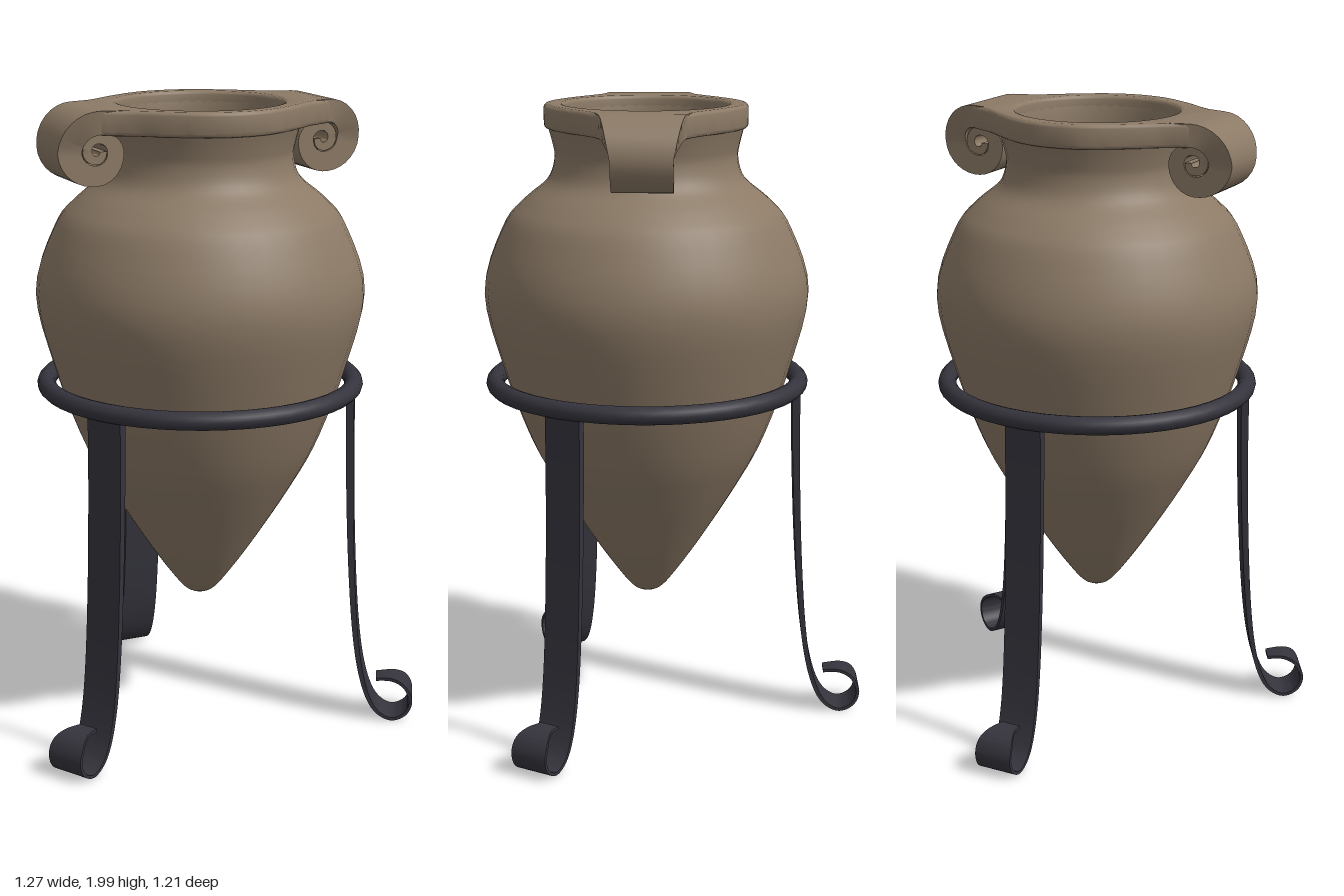
import * as THREE from 'three';
import { toCreasedNormals } from 'three/addons/utils/BufferGeometryUtils.js';

const AXIS_Z = 0.09;
const vec = (pts) => pts.map(([x, y]) => new THREE.Vector2(x, y));
const spline = (pts, n) => new THREE.SplineCurve(vec(pts)).getPoints(n);

// Rectangular band lofted through rows { outer, inner, w }; w is the half width along z
function band(rows) {
  const pos = [], index = [];
  rows.forEach(({ outer: o, inner: i, w }, k) => {
    pos.push(o.x, o.y, -w, o.x, o.y, w, i.x, i.y, w, i.x, i.y, -w);
    if (k === rows.length - 1) return;
    for (let j = 0; j < 4; j++) {
      const a = k * 4 + j, b = k * 4 + (j + 1) % 4;
      index.push(a, b, a + 4, b, b + 4, a + 4);
    }
  });
  const e = (rows.length - 1) * 4;
  index.push(0, 3, 2, 0, 2, 1, e, e + 1, e + 2, e, e + 2, e + 3);
  const g = new THREE.BufferGeometry();
  g.setAttribute('position', new THREE.Float32BufferAttribute(pos, 3));
  g.setIndex(index);
  return toCreasedNormals(g, 0.7);
}

// Pointed vessel with an inner wall
function bodyGeometry() {
  const outer = spline([
    [0, 0.41], [0.045, 0.425], [0.1, 0.49], [0.18, 0.605], [0.29, 0.78], [0.375, 0.94],
    [0.46, 1.18], [0.513, 1.42], [0.45, 1.62], [0.386, 1.7], [0.31, 1.765],
    [0.287, 1.83], [0.293, 1.88], [0.308, 1.935],
  ], 56);
  const inner = spline([
    [0.259, 1.985], [0.252, 1.93], [0.25, 1.83], [0.28, 1.75], [0.41, 1.61],
    [0.475, 1.42], [0.425, 1.18], [0.34, 0.94], [0.15, 0.62], [0, 0.5],
  ], 36);
  outer[0].x = 0;
  inner[inner.length - 1].x = 0;
  return new THREE.LatheGeometry([...outer, new THREE.Vector2(0.266, 1.94), ...inner], 40);
}

// Rim slab: round in the middle, narrowing towards both scrolls
function rimGeometry() {
  const side = spline([
    [-0.375, 0.13], [-0.3, 0.168], [-0.2, 0.243], [-0.1, 0.3], [0, 0.318],
    [0.1, 0.3], [0.2, 0.243], [0.3, 0.168], [0.375, 0.13],
  ], 40);
  const back = side.map((p) => new THREE.Vector2(-p.x, -p.y));
  const shape = new THREE.Shape([...side, ...back].reverse());
  shape.holes.push(new THREE.Path().absarc(0, 0, 0.256, 0, Math.PI * 2, true));
  const g = new THREE.ExtrudeGeometry(shape, {
    depth: 0.051, bevelThickness: 0.012, bevelSize: 0.012, bevelOffset: -0.012,
    bevelSegments: 3, curveSegments: 24,
  });
  g.rotateX(-Math.PI / 2).translate(0, 1.937, 0);
  return toCreasedNormals(g, 0.7);
}

// Rolled scroll; the inner edge follows the outer edge of the next turn
function scrollGeometry() {
  const radii = [0.125, 0.125, 0.103, 0.085, 0.052, 0.046, 0.038, 0.03, 0.021, 0.014, 0.009, 0.005];
  const radius = (q) => {
    const i = Math.min(Math.floor(q), radii.length - 2);
    return THREE.MathUtils.lerp(radii[i], radii[i + 1], THREE.MathUtils.smoothstep(q - i, 0, 1) * 0.5 + (q - i) * 0.5);
  };
  const at = (q, r) => new THREE.Vector2(
    0.375 + r * Math.sin(q * Math.PI / 2), 1.875 + r * Math.cos(q * Math.PI / 2));
  const rows = [{ outer: new THREE.Vector2(0.3, 2), inner: new THREE.Vector2(0.3, 1.927), w: 0.15 }];
  for (let q = 0; q <= 7; q += 0.125) {
    const w = THREE.MathUtils.lerp(0.13, 0.092, Math.min(1, q));
    rows.push({ outer: at(q, radius(q)), inner: at(q, radius(q + 4) + 0.003), w });
  }
  return band(rows);
}

// Flat bar leg, bowed outwards and curled at the foot
function legGeometry() {
  const path = new THREE.SplineCurve(vec([
    [0.477, 1.12], [0.479, 0.9], [0.489, 0.6], [0.507, 0.33], [0.532, 0.16], [0.57, 0.055],
    [0.625, 0.013], [0.675, 0.03], [0.694, 0.075], [0.675, 0.12], [0.635, 0.139], [0.58, 0.136],
  ]));
  const rows = [], n = 66;
  for (let i = 0; i <= n; i++) {
    const t = i / n, p = path.getPoint(t), d = path.getTangent(t);
    const half = THREE.MathUtils.lerp(0.013, 0.005, Math.min(1, t * 1.9));
    const normal = new THREE.Vector2(-d.y, d.x).multiplyScalar(half);
    rows.push({
      outer: p.clone().add(normal), inner: p.clone().sub(normal),
      w: THREE.MathUtils.lerp(0.062, 0.032, THREE.MathUtils.smoothstep(t, 0.76, 1)),
    });
  }
  return band(rows);
}

export function createModel() {
  const clay = new THREE.MeshStandardMaterial({ color: 0x8c7a66 });
  clay.name = 'clay';
  const iron = new THREE.MeshStandardMaterial({ color: 0x35343d });
  iron.name = 'darkIron';

  const model = new THREE.Group();
  model.name = 'jarOnStand';
  const jar = new THREE.Group();
  jar.name = 'jar';
  const stand = new THREE.Group();
  stand.name = 'stand';
  for (const g of [jar, stand]) {
    g.position.z = AXIS_Z;
    model.add(g);
  }
  const add = (parent, name, geometry, material) => {
    const m = new THREE.Mesh(geometry, material);
    m.name = name;
    parent.add(m);
    return m;
  };

  add(jar, 'body', bodyGeometry(), clay);
  add(jar, 'rim', rimGeometry(), clay);
  const scroll = scrollGeometry();
  add(jar, 'leftScroll', scroll, clay);
  add(jar, 'rightScroll', scroll, clay).rotation.y = Math.PI;

  // Iron ring and three legs
  const ring = add(stand, 'ring', new THREE.TorusGeometry(0.485, 0.029, 12, 48), iron);
  ring.rotation.x = Math.PI / 2;
  ring.position.y = 1.12;
  const leg = legGeometry();
  ['backLeg', 'rightLeg', 'leftLeg'].forEach((name, i) => {
    add(stand, name, leg, iron).rotation.y = Math.PI / 2 + i * Math.PI * 2 / 3;
  });
  return model;
}
